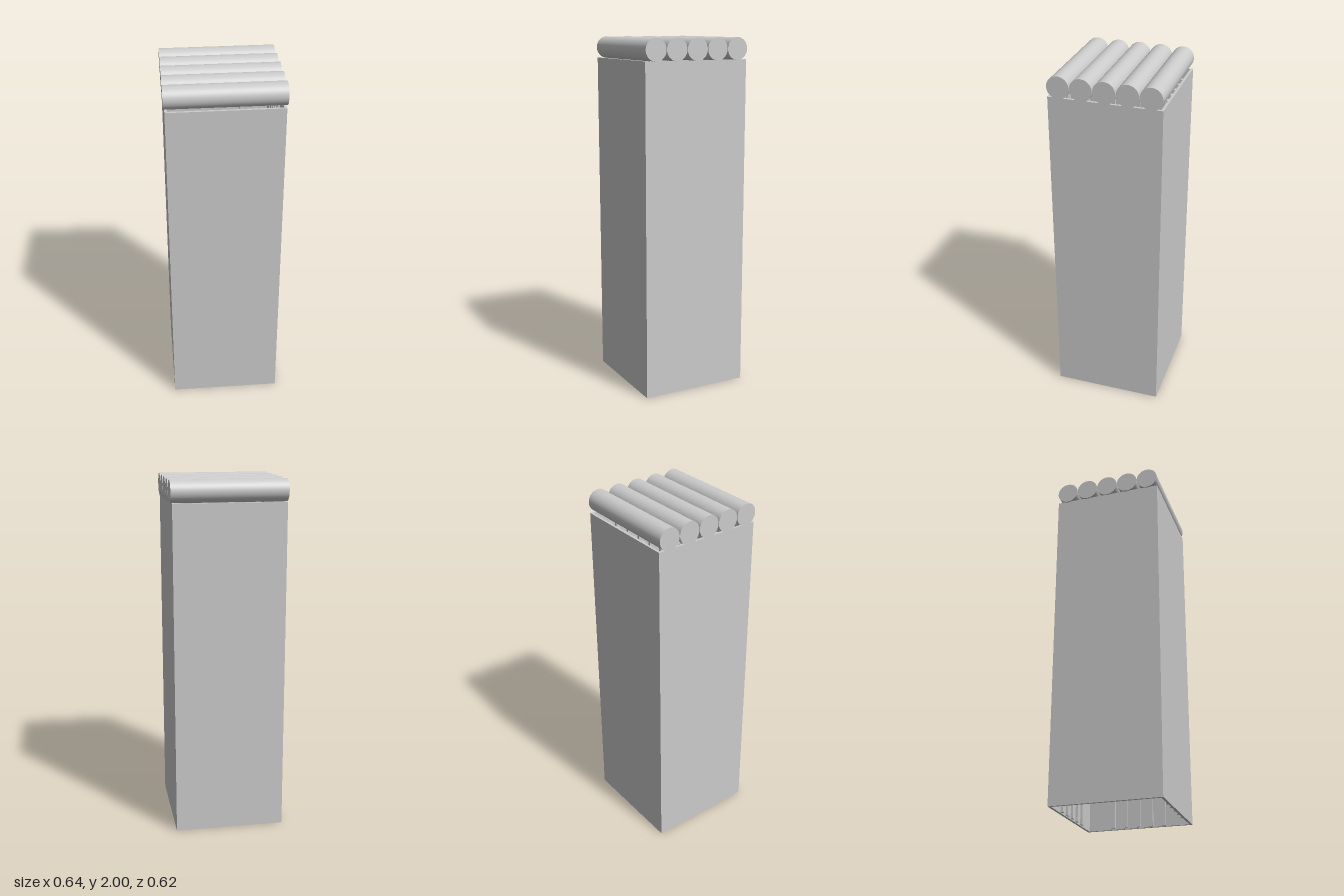
import * as THREE from 'three';

const W = 0.622, H = 1.88, T = 0.014;   // shaft width, height, wall thickness
const R = 0.0615, L = 0.637;            // roof log radius and length

export function createModel() {
  const model = new THREE.Group();
  model.name = 'loggedShaft';
  const material = new THREE.MeshStandardMaterial({ color: 0xcccccc });

  const add = (parent, name, geometry, x = 0, y = 0, z = 0) => {
    const mesh = new THREE.Mesh(geometry, material);
    mesh.name = name;
    mesh.position.set(x, y, z);
    parent.add(mesh);
    return mesh;
  };

  // Square shaft, open at the top and bottom
  const square = (Path, s) => new Path([
    new THREE.Vector2(-s, -s), new THREE.Vector2(s, -s),
    new THREE.Vector2(s, s), new THREE.Vector2(-s, s),
  ]);
  const outline = square(THREE.Shape, W / 2);
  outline.holes.push(square(THREE.Path, W / 2 - T));
  const shaft = new THREE.ExtrudeGeometry(outline, { depth: H, bevelEnabled: false });
  shaft.rotateX(-Math.PI / 2);
  add(model, 'shaftWalls', shaft);

  // Upright ribs inside each of the four walls
  const ribGeometry = new THREE.BoxGeometry(0.024, H - 0.01, 0.014);
  for (let side = 0; side < 4; side++) {
    const wall = new THREE.Group();
    wall.name = 'wallRibs';
    wall.rotation.y = side * Math.PI / 2;
    for (const x of [-0.15, -0.075, 0, 0.075, 0.15]) {
      add(wall, 'rib', ribGeometry, x, H / 2, W / 2 - T - 0.006);
    }
    model.add(wall);
  }

  // Small lever handle on the inside of the front wall
  const handle = new THREE.Group();
  handle.name = 'innerHandle';
  handle.position.set(0.25, 0.42, 0.27);
  const stem = new THREE.CylinderGeometry(0.012, 0.012, 0.06, 16).rotateX(Math.PI / 2);
  add(handle, 'handleStem', stem, -0.05, 0, 0);
  add(handle, 'handleArm', new THREE.BoxGeometry(0.075, 0.022, 0.022), -0.025, 0, -0.025);
  add(handle, 'handleGrip', new THREE.BoxGeometry(0.022, 0.14, 0.022), 0, -0.05, -0.025);
  model.add(handle);

  // Row of round logs lying across the top
  const logGeometry = new THREE.CylinderGeometry(R, R, L, 48).rotateZ(Math.PI / 2);
  for (let i = -2; i <= 2; i++) {
    add(model, 'roofLog', logGeometry, 0, 2 - R, i * 0.125);
  }

  return model;
}
